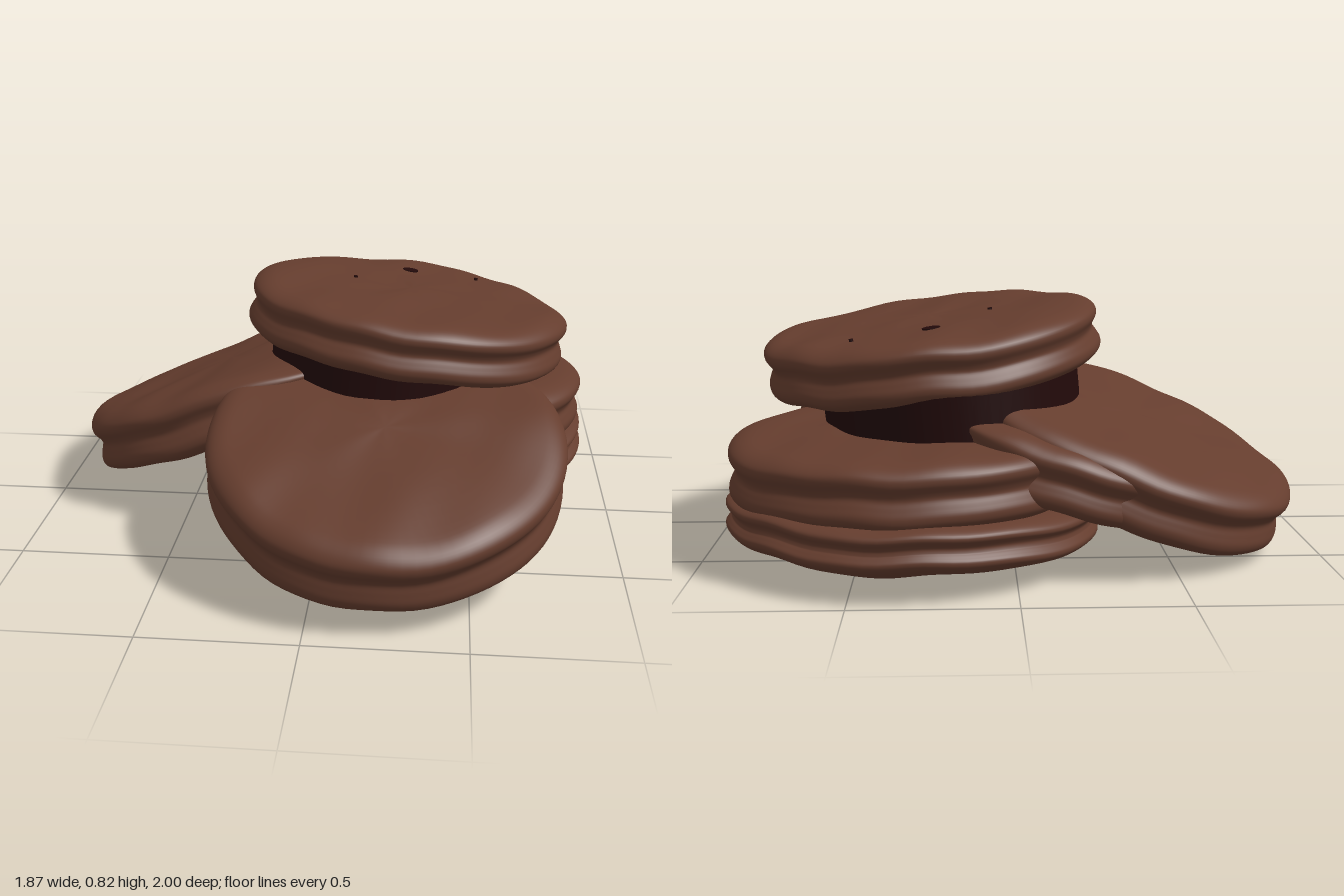
import * as THREE from 'three';
import { mergeVertices } from 'three/addons/utils/BufferGeometryUtils.js';

const chocolate = new THREE.MeshStandardMaterial({ color: 0x653d2e });
chocolate.name = 'chocolate';
const shadowFilling = new THREE.MeshStandardMaterial({ color: 0x220a0a });
shadowFilling.name = 'darkFilling';

// Half section of a sandwich biscuit, as [radius, height] fractions, bottom to top
const SECTION = [
  [0, -1], [0.45, -0.99], [0.8, -0.95], [0.92, -0.86], [0.985, -0.66], [0.998, -0.42], [0.98, -0.18],
  [0.962, 0.02], [0.97, 0.2], [0.995, 0.44], [0.985, 0.68], [0.92, 0.88], [0.8, 0.96], [0.45, 1], [0, 1],
];

// Unit vector of a surface that rises by sx along x and by sz along z
const slopeNormal = (sx, sz) => new THREE.Vector3(-sx, 1, -sz).normalize();

function tilt(sx, sz) {
  return new THREE.Quaternion().setFromUnitVectors(new THREE.Vector3(0, 1, 0), slopeNormal(sx, sz));
}

// Lumpy round biscuit; power above 2 squares the outline, belly rounds the underside,
// and ceiling softly presses down whatever lies under the top biscuit
function biscuit(name, { at, rx, rz, half, sx = 0, sz = 0, seed = 1, power = 2, belly = 0, ceiling = 9 }) {
  const curve = new THREE.SplineCurve(SECTION.map(([r, y]) => new THREE.Vector2(r, y)));
  const points = curve.getPoints(64);
  points.forEach((p) => { p.x = Math.max(p.x, 0); });
  points[0].x = points[points.length - 1].x = 0;
  let geo = new THREE.LatheGeometry(points, 88);
  geo.deleteAttribute('uv');
  geo.deleteAttribute('normal');
  const pos = geo.attributes.position;
  const v = new THREE.Vector3();
  const matrix = new THREE.Matrix4().compose(
    new THREE.Vector3(...at), tilt(sx, sz), new THREE.Vector3(1, 1, 1));
  for (let i = 0; i < pos.count; i++) {
    v.fromBufferAttribute(pos, i);
    const r = Math.hypot(v.x, v.z);
    const a = Math.atan2(v.z, v.x);
    // uneven rim and gently dented faces
    const square = (Math.abs(Math.cos(a)) ** power + Math.abs(Math.sin(a)) ** power) ** (-1 / power);
    const wobble = square * (1 + 0.006 * Math.sin(3 * a + seed) + 0.004 * Math.sin(5 * a + 2 * seed + 2 * v.y));
    const wave = r * (0.004 * Math.sin(4 * a + seed * 3) + 0.003 * Math.sin(7 * a + seed));
    const dent = 0.004 * Math.sin(6 * v.x + seed) * Math.cos(7 * v.z + 2 * seed)
      + 0.002 * Math.sin(15 * v.x + 5 * v.z + seed);
    const bulge = v.y < 0 ? -belly * (1 - r * r) : 0;
    v.set(v.x * rx * wobble, v.y * half + wave + dent + bulge, v.z * rz * wobble);
    v.applyMatrix4(matrix);
    const soft = 0.08;
    const over = v.y - (ceiling - soft);
    if (over > 0) v.y = ceiling - soft * Math.exp(-over / soft);
    pos.setXYZ(i, v.x, Math.max(v.y, 0), v.z);
  }
  geo = mergeVertices(geo, 1e-5);
  geo.computeVertexNormals();
  const mesh = new THREE.Mesh(geo, chocolate);
  mesh.name = name;
  return mesh;
}

export function createModel() {
  const group = new THREE.Group();
  group.name = 'biscuitPile';

  // Flat stack of two at the back
  group.add(biscuit('lowerBackBiscuit', {
    at: [0.32, 0.148, -0.41], rx: 0.605, rz: 0.59, half: 0.073, sx: 0.02, sz: -0.025, seed: 1, belly: 0.068,
  }));
  group.add(biscuit('upperBackBiscuit', {
    at: [0.325, 0.325, -0.395], rx: 0.59, rz: 0.575, half: 0.112, sx: -0.035, sz: 0.04, seed: 2.3,
  }));

  // Biscuits leaning on the stack
  group.add(biscuit('frontLeaningBiscuit', {
    at: [0.215, 0.355, 0.408], rx: 0.585, rz: 0.59, half: 0.134, sx: -0.01, sz: -0.32, seed: 3.1, ceiling: 0.58,
  }));
  group.add(biscuit('sideLeaningBiscuit', {
    at: [-0.36, 0.335, -0.272], rx: 0.585, rz: 0.565, half: 0.118, sx: 0.38, sz: 0.15, seed: 4.4,
    power: 2.2, ceiling: 0.6,
  }));
  // Shingled edge showing behind the side biscuit
  group.add(biscuit('shingledBiscuit', {
    at: [-0.19, 0.36, -0.36], rx: 0.5, rz: 0.5, half: 0.105, sx: 0.33, sz: 0.13, seed: 5.2, ceiling: 0.52,
  }));

  // Top biscuit
  const top = { at: [0.26, 0.66, -0.18], rx: 0.565, rz: 0.56, half: 0.106, sx: -0.13, sz: 0.06, seed: 6.5 };
  group.add(biscuit('topBiscuit', top));

  // Dark filling in the gap below the top biscuit, set back from the right rim
  const filling = new THREE.Mesh(new THREE.CylinderGeometry(1, 1, 0.2, 64), shadowFilling);
  filling.name = 'gapFilling';
  filling.scale.set(0.43, 1, 0.52);
  filling.position.set(0.2, 0.51, -0.205);
  filling.quaternion.copy(tilt(-0.1, 0.05));
  group.add(filling);

  // Small pits in the top face
  const up = slopeNormal(top.sx, top.sz);
  for (const [x, z, r] of [[0.26, -0.48, 0.03], [0.07, -0.23, 0.008], [0.51, -0.5, 0.007]]) {
    const pit = new THREE.Mesh(new THREE.CylinderGeometry(r, r, 0.008, 9), shadowFilling);
    pit.name = 'pit';
    const y = top.at[1] + top.sx * (x - top.at[0]) + top.sz * (z - top.at[2]);
    pit.position.set(x - up.x * top.half, y, z - up.z * top.half).addScaledVector(up, top.half + 0.002);
    pit.quaternion.copy(tilt(top.sx, top.sz));
    group.add(pit);
  }
  return group;
}
